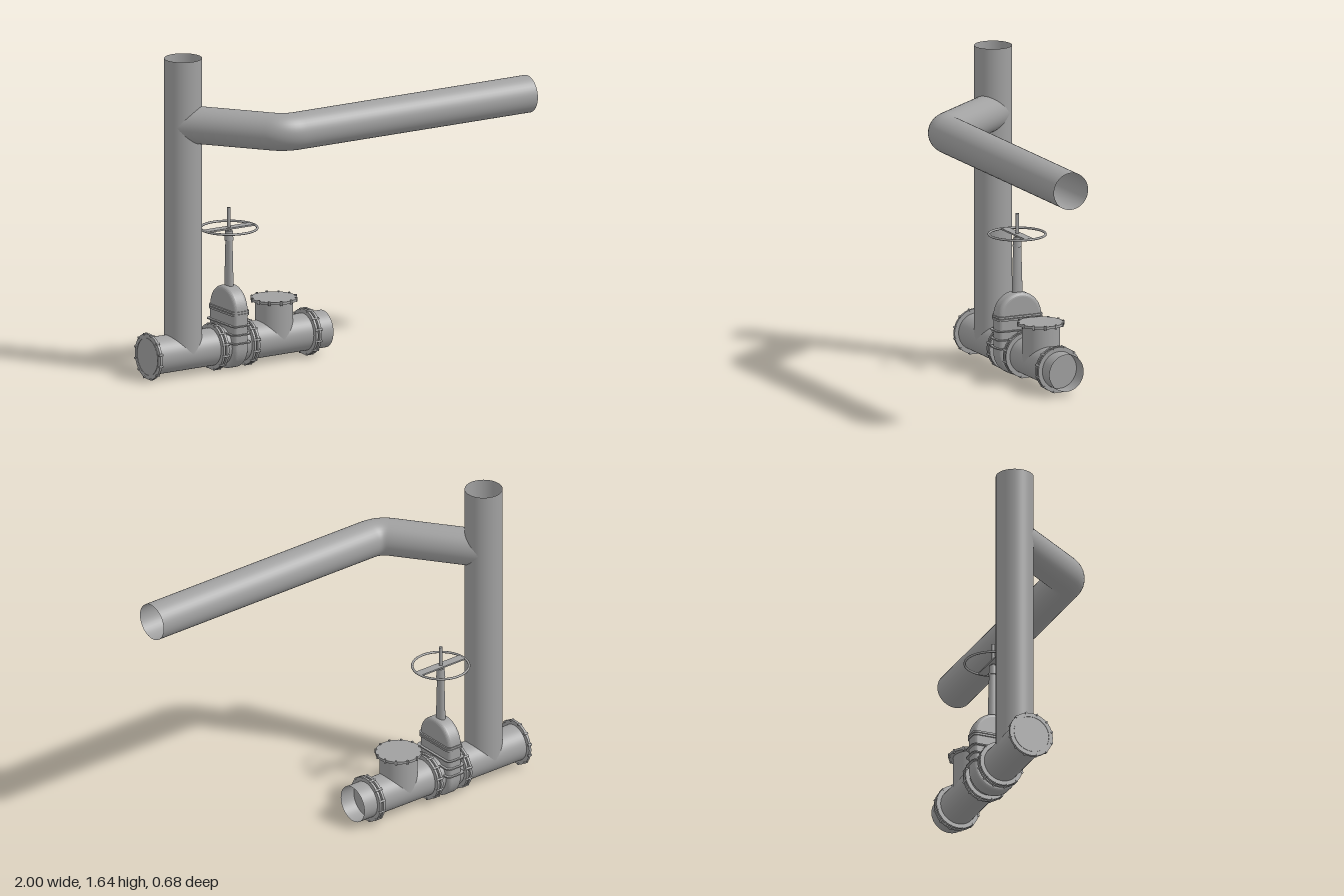
import * as THREE from 'three';

const AXIS_Y = 0.125, AXIS_Z = -0.19, R = 0.095, FLANGE_R = 0.117;

export function createModel() {
  const steel = new THREE.MeshStandardMaterial({ color: 0xa0a0a0 });
  steel.name = 'grey steel';
  steel.side = THREE.DoubleSide; // pipes have open ends
  const model = new THREE.Group();
  model.name = 'pipework';

  const add = (name, geometry, x = 0, y = 0, z = 0, parent = model) => {
    const mesh = new THREE.Mesh(geometry, steel);
    mesh.name = name;
    mesh.position.set(x, y, z);
    parent.add(mesh);
    return mesh;
  };
  const cyl = (r, h, open = false, n = 48) => new THREE.CylinderGeometry(r, r, h, n, 1, open);

  // Horizontal main, riser and capped tee
  add('mainPipe', cyl(R, 1.055, true).rotateZ(Math.PI / 2), -0.4675, AXIS_Y, AXIS_Z);
  add('riser', cyl(R, 1.64 - AXIS_Y, true), -0.78, (1.64 + AXIS_Y) / 2, AXIS_Z);
  add('teeNeck', cyl(R, 0.19, true), -0.235, AXIS_Y + 0.095, AXIS_Z);

  // High branch with a smooth bend
  const start = new THREE.Vector3(-0.78, 1.3, AXIS_Z);
  const corner = new THREE.Vector3(-0.453, 1.3, 0.245);
  const end = new THREE.Vector3(1, 1.3, 0.245);
  const toward = (to) => corner.clone().add(to.clone().sub(corner).setLength(0.07));
  const bendIn = toward(start), bendOut = toward(end);
  const path = new THREE.CurvePath();
  path.add(new THREE.LineCurve3(start, bendIn));
  path.add(new THREE.QuadraticBezierCurve3(bendIn, corner, bendOut));
  path.add(new THREE.LineCurve3(bendOut, end));
  add('branchPipe', new THREE.TubeGeometry(path, 140, R, 40));

  // Flange discs with bolts round the rim, stacked along local y
  const flange = (name, offsets, boltLength) => {
    const group = new THREE.Group();
    group.name = name;
    for (const y of offsets) add('flangeDisc', cyl(FLANGE_R, 0.013), 0, y, 0, group);
    for (let i = 0; i < 12; i++) {
      const a = (i + 0.5) * Math.PI / 6;
      add('bolt', cyl(0.006, boltLength, false, 8), Math.cos(a) * 0.115, 0, Math.sin(a) * 0.115, group);
    }
    model.add(group);
    return group;
  };
  const pair = [-0.011, 0.011];
  [['endFlange', -0.986, [0]], ['valveFlangeLeft', -0.597, pair],
    ['valveFlangeRight', -0.411, pair], ['outletFlange', -0.041, pair]].forEach(([name, x, offsets]) => {
    const f = flange(name, offsets, offsets.length > 1 ? 0.042 : 0.022);
    f.rotation.z = Math.PI / 2;
    f.position.set(x, AXIS_Y, AXIS_Z);
  });
  flange('teeCap', [0], 0.022).position.set(-0.235, 0.322, AXIS_Z);

  // Gate valve
  const valve = new THREE.Group();
  valve.name = 'gateValve';
  valve.position.set(-0.505, 0, AXIS_Z);
  model.add(valve);

  // Body and bonnet: a stadium outline with softened edges
  const bevel = 0.02, r = 0.12 - bevel;
  const outline = new THREE.Shape();
  outline.absarc(0, 0.31, r, 0, Math.PI, false);
  outline.absarc(0, AXIS_Y, r, Math.PI, Math.PI * 2, false);
  outline.closePath();
  const body = new THREE.ExtrudeGeometry(outline, {
    depth: 0.045, bevelEnabled: true, bevelThickness: bevel, bevelSize: bevel, bevelSegments: 5, curveSegments: 24,
  });
  body.translate(0, 0, -0.0225).rotateY(Math.PI / 2);
  add('valveBody', body, 0, 0, 0, valve);

  // Flat bands with rounded corners round the body
  const band = (name, hx, hz, h, y) => {
    const c = 0.025, s = new THREE.Shape();
    s.absarc(hx - c, hz - c, c, 0, Math.PI / 2, false);
    s.absarc(c - hx, hz - c, c, Math.PI / 2, Math.PI, false);
    s.absarc(c - hx, c - hz, c, Math.PI, Math.PI * 1.5, false);
    s.absarc(hx - c, c - hz, c, Math.PI * 1.5, Math.PI * 2, false);
    const g = new THREE.ExtrudeGeometry(s, { depth: h, bevelEnabled: false, curveSegments: 6 });
    add(name, g.translate(0, 0, -h / 2).rotateX(-Math.PI / 2), 0, y, 0, valve);
  };
  for (const y of [0.152, 0.196, 0.24]) band('bodyRib', 0.056, 0.132, 0.006, y);
  for (const y of [0.298, 0.311]) band('bonnetFlange', 0.05, 0.125, 0.01, y);

  // Tapered yoke, collar and stem
  const yoke = new THREE.CylinderGeometry(0.019, 0.026, 0.28, 24);
  yoke.scale(0.8, 1, 1.1);
  add('yoke', yoke, 0, 0.555, 0, valve);
  add('collar', new THREE.CylinderGeometry(0.019, 0.023, 0.05, 24), 0, 0.685, 0, valve);
  add('stem', cyl(0.009, 0.14, false, 16), 0, 0.76, 0, valve);

  // Handwheel with one flat crossbar
  add('handwheelRim', new THREE.TorusGeometry(0.143, 0.006, 10, 56).rotateX(Math.PI / 2), 0, 0.724, 0, valve);
  add('handwheelBar', new THREE.BoxGeometry(0.28, 0.008, 0.046), 0, 0.724, 0, valve);

  return model;
}
